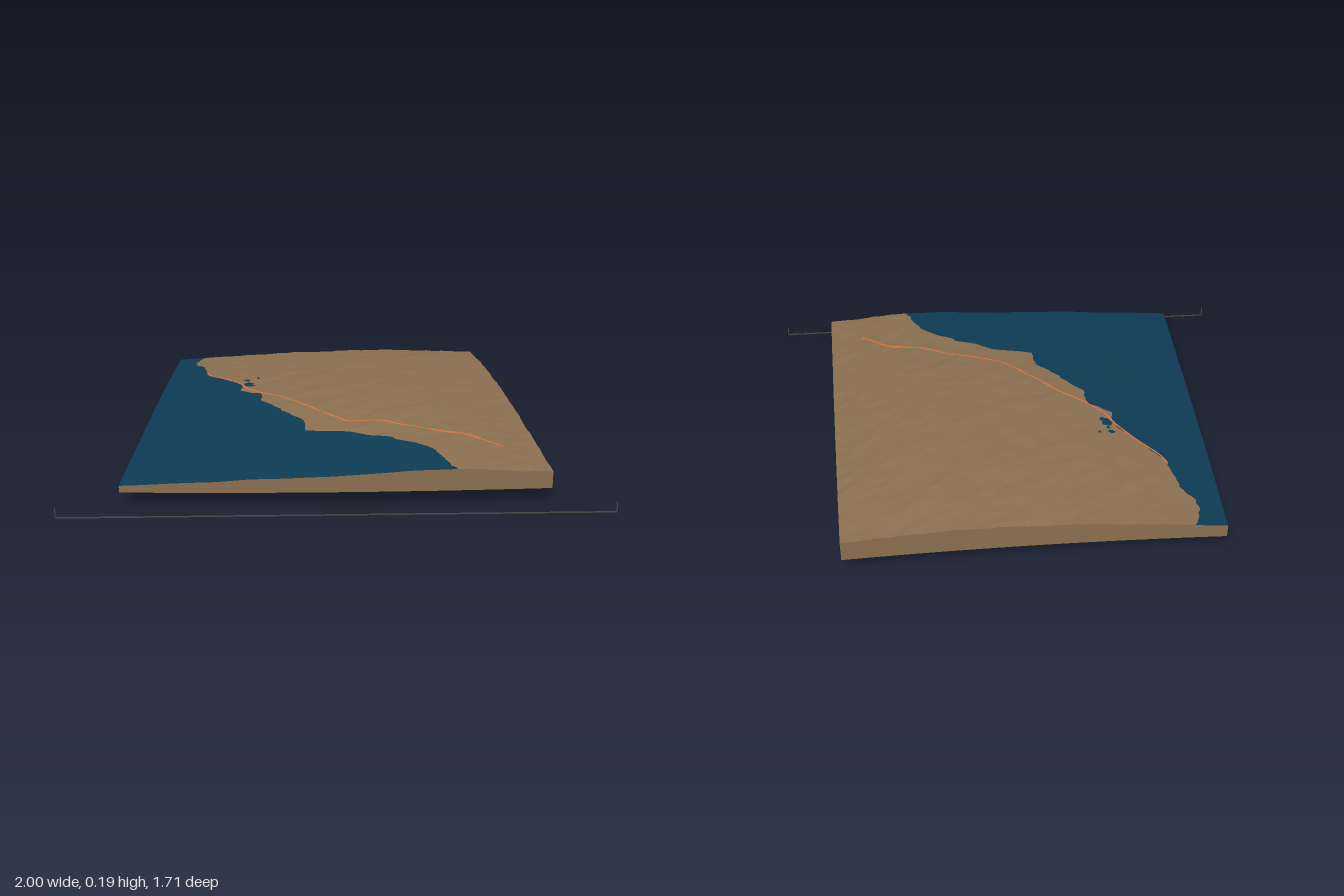
import * as THREE from 'three';

const BASE = 0.055;
const lerp = THREE.MathUtils.lerp, clamp = THREE.MathUtils.clamp;

// Coarse heights: rows run back to front, columns run -x to +x
const HEIGHTS = [
  [0.105, 0.130, 0.146, 0.150, 0.135],
  [0.108, 0.156, 0.177, 0.180, 0.155],
  [0.105, 0.155, 0.178, 0.189, 0.155],
  [0.095, 0.130, 0.152, 0.168, 0.140],
  [0.080, 0.101, 0.116, 0.137, 0.117],
];
// Shoreline as x, z from back to front
const COAST = [
  [-0.585, -0.86], [-0.60, -0.82], [-0.62, -0.75], [-0.61, -0.70], [-0.57, -0.64], [-0.555, -0.56],
  [-0.55, -0.48], [-0.49, -0.40], [-0.44, -0.33], [-0.39, -0.27], [-0.38, -0.22], [-0.38, -0.16],
  [-0.34, -0.12], [-0.29, -0.10], [-0.29, 0], [-0.24, 0.06], [-0.20, 0.13], [-0.15, 0.20],
  [-0.115, 0.24], [-0.11, 0.345], [-0.06, 0.36], [0.06, 0.38], [0.13, 0.43], [0.22, 0.46],
  [0.23, 0.485], [0.30, 0.52], [0.36, 0.58], [0.40, 0.66], [0.42, 0.73], [0.45, 0.78],
];
const FAULT = [
  [-0.55, -0.50], [-0.53, -0.45], [-0.45, -0.35], [-0.38, -0.24], [-0.35, -0.17], [-0.27, -0.08],
  [-0.20, -0.02], [-0.10, 0.10], [0, 0.22], [0.06, 0.275], [0.10, 0.285], [0.20, 0.31],
  [0.30, 0.36], [0.40, 0.41], [0.50, 0.44], [0.56, 0.48], [0.635, 0.55],
];

// Smooth value noise in -1..1
function hash(i, j) {
  const s = Math.sin(i * 127.1 + j * 311.7) * 43758.5453;
  return (s - Math.floor(s)) * 2 - 1;
}
function noise(x, y) {
  const i = Math.floor(x), j = Math.floor(y);
  const s = THREE.MathUtils.smoothstep(x - i, 0, 1), t = THREE.MathUtils.smoothstep(y - j, 0, 1);
  return lerp(lerp(hash(i, j), hash(i + 1, j), s), lerp(hash(i, j + 1), hash(i + 1, j + 1), s), t);
}

function coastX(z) {
  let k = 0;
  while (k < COAST.length - 2 && z > COAST[k + 1][1]) k++;
  const [x0, z0] = COAST[k], [x1, z1] = COAST[k + 1];
  return lerp(x0, x1, clamp((z - z0) / (z1 - z0), 0, 1)) + 0.007 * noise(z * 55, 3.5);
}

// Tapered plan with curved front and back edges
const halfWidth = (t) => lerp(0.705, 0.785, t);
const planZ = (u, t) => lerp(-0.84, 0.77, t) - u * u * lerp(0.015, 0.02, t);

function spline(p, s) {
  const f = clamp(s, 0, 1) * (p.length - 1), i = Math.min(Math.floor(f), p.length - 2), t = f - i;
  const a = p[i - 1] ?? 2 * p[i] - p[i + 1], d = p[i + 2] ?? 2 * p[i + 1] - p[i];
  const b = p[i], c = p[i + 1];
  return b + 0.5 * t * (c - a + t * (2 * a - 5 * b + 4 * c - d + t * (3 * (b - c) + d - a)));
}

// Domed ground with diagonal ridges on land and a soft sea bed
function height(x, z) {
  let t = (z + 0.84) / 1.61, u = 0;
  for (let k = 0; k < 2; k++) {
    u = x / halfWidth(t);
    t = clamp((z + 0.84 + u * u * lerp(0.015, 0.02, t)) / 1.61, 0, 1);
  }
  const base = spline(HEIGHTS.map((row) => spline(row, (u + 1) / 2)), t);
  const along = (x - z) * 0.707, across = (x + z) * 0.707;
  const land = clamp((x - coastX(z)) / 0.12, 0, 1);
  const ridges = 0.0035 * noise(along * 7, across * 17) + 0.0022 * noise(along * 18 + 9, across * 40);
  const bed = 0.003 * noise(along * 5 + 30, across * 9);
  return base + lerp(bed, ridges, land);
}

// Surface grid from a point function of (s, t)
function grid(nu, nv, point) {
  const pos = [], index = [];
  for (let j = 0; j <= nv; j++) {
    for (let i = 0; i <= nu; i++) pos.push(...point(i / nu, j / nv));
  }
  for (let j = 0; j < nv; j++) {
    for (let i = 0; i < nu; i++) {
      const a = j * (nu + 1) + i, c = a + nu + 1;
      index.push(a, c, a + 1, a + 1, c, c + 1);
    }
  }
  const g = new THREE.BufferGeometry();
  g.setAttribute('position', new THREE.Float32BufferAttribute(pos, 3));
  g.setIndex(index);
  g.computeVertexNormals();
  return g;
}

// Ribbon draped over the ground along a path
function ribbon(points, width) {
  const curve = new THREE.CatmullRomCurve3(points.map(([x, z]) => new THREE.Vector3(x, 0, z)));
  return grid(240, 1, (s, t) => {
    const p = curve.getPointAt(s), d = curve.getTangentAt(s), o = (t - 0.5) * width;
    const x = p.x - d.z * o, z = p.z + d.x * o;
    return [x, height(x, z) + 0.0025, z];
  });
}

export function createModel() {
  const model = new THREE.Group();
  const material = (name, color) => {
    const m = new THREE.MeshStandardMaterial({ color, side: THREE.DoubleSide });
    m.name = name;
    return m;
  };
  const earth = material('earth brown', 0x8c7051);
  const water = material('deep sea blue', 0x0d3c55);
  const orange = material('fault orange', 0xe0703a);
  const grey = material('scale bar grey', 0x4a4a46);
  const add = (name, geometry, mat, parent = model) => {
    const mesh = new THREE.Mesh(geometry, mat);
    mesh.name = name;
    parent.add(mesh);
    return mesh;
  };

  // Sea and land meet along the shoreline
  const coastU = (t) => {
    let u = 0;
    for (let k = 0; k < 8; k++) u = coastX(planZ(u, t)) / halfWidth(t);
    return u;
  };
  const ground = (u, t) => {
    const x = u * halfWidth(t), z = planZ(u, t);
    return [x, height(x, z), z];
  };
  add('sea', grid(70, 220, (s, t) => ground(lerp(-1, coastU(t), s), t)), water);
  add('land', grid(130, 220, (s, t) => ground(lerp(coastU(t), 1, s), t)), earth);

  // Side walls, open underneath
  const walls = {
    frontWall: (s) => [2 * s - 1, 1],
    rightWall: (s) => [1, 1 - s],
    backWall: (s) => [1 - 2 * s, 0],
    leftWall: (s) => [-1, s],
  };
  for (const [name, edge] of Object.entries(walls)) {
    add(name, grid(220, 1, (s, t) => {
      const [x, y, z] = ground(...edge(s));
      return [x, t ? BASE : y, z];
    }), earth);
  }

  // Fault trace with a short side strand
  add('faultLine', ribbon(FAULT, 0.008), orange);
  add('faultStrand', ribbon([[0.38, 0.405], [0.45, 0.418], [0.51, 0.432], [0.56, 0.47]], 0.005), orange);

  // Small inlets beside the shore
  const inlets = [[-0.352, -0.238, 0.022, 0.026], [-0.362, -0.303, 0.014, 0.011],
    [-0.335, -0.215, 0.010, 0.012], [-0.312, -0.31, 0.006, 0.008], [-0.352, -0.275, 0.008, 0.008]];
  for (const [cx, cz, rx, rz] of inlets) {
    add('inlet', grid(20, 3, (s, t) => {
      const a = -s * Math.PI * 2, r = t * (1 + 0.25 * noise(Math.cos(a) * 2 + cx * 90, Math.sin(a) * 2));
      const x = cx + rx * r * Math.cos(a), z = cz + rz * r * Math.sin(a);
      return [x, height(x, z) + 0.0015, z];
    }), water);
  }

  // Scale bar with upright end ticks
  const bar = new THREE.Group();
  bar.name = 'scaleBar';
  model.add(bar);
  add('barLine', new THREE.BoxGeometry(2, 0.004, 0.004), grey, bar).position.set(0, 0.002, 0.853);
  for (const side of [-1, 1]) {
    add('barTick', new THREE.BoxGeometry(0.004, 0.04, 0.004), grey, bar).position.set(side * 0.998, 0.02, 0.853);
  }
  return model;
}
